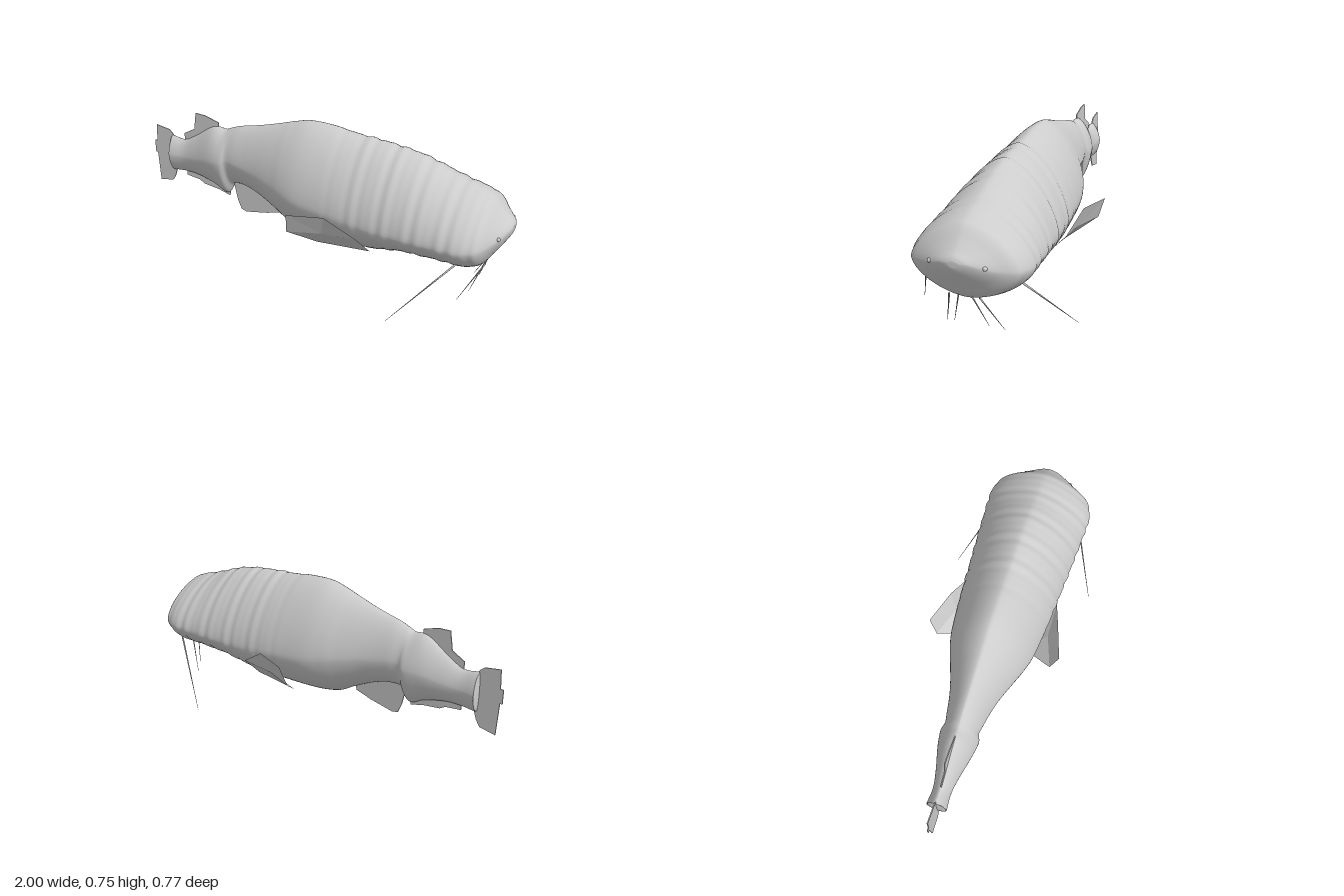
import * as THREE from 'three';

const skin = new THREE.MeshStandardMaterial({ color: 0xcccccc, side: THREE.DoubleSide });
skin.name = 'pale grey skin';

// Body stations: x, top, bottom, half width, height of the widest line
const STATIONS = [
  [-0.88, 0.52, 0.32, 0.05, 0.42],
  [-0.80, 0.51, 0.325, 0.045, 0.42],
  [-0.72, 0.55, 0.32, 0.058, 0.43],
  [-0.61, 0.618, 0.29, 0.085, 0.45],
  [-0.535, 0.617, 0.255, 0.096, 0.45],
  [-0.50, 0.63, 0.315, 0.085, 0.47],
  [-0.45, 0.648, 0.325, 0.093, 0.47],
  [-0.38, 0.663, 0.312, 0.106, 0.46],
  [-0.30, 0.682, 0.28, 0.127, 0.45],
  [-0.20, 0.71, 0.228, 0.162, 0.43],
  [-0.13, 0.731, 0.187, 0.188, 0.42],
  [-0.04, 0.751, 0.168, 0.213, 0.40],
  [0.08, 0.747, 0.16, 0.228, 0.39],
  [0.20, 0.728, 0.158, 0.239, 0.38],
  [0.32, 0.718, 0.16, 0.247, 0.37],
  [0.42, 0.705, 0.18, 0.254, 0.365],
  [0.52, 0.688, 0.202, 0.261, 0.365],
  [0.62, 0.656, 0.207, 0.267, 0.365],
  [0.72, 0.618, 0.21, 0.272, 0.365],
  [0.80, 0.592, 0.207, 0.275, 0.365],
  [0.86, 0.573, 0.212, 0.262, 0.37],
  [0.90, 0.548, 0.24, 0.235, 0.375],
  [0.935, 0.508, 0.292, 0.175, 0.385],
  [0.965, 0.475, 0.338, 0.12, 0.40],
  [0.99, 0.452, 0.38, 0.062, 0.42],
  [1.0, 0.435, 0.405, 0.025, 0.425],
];

function spline(a, b, c) {
  const points = STATIONS.map((s) => new THREE.Vector3(s[a], s[b], s[c]));
  return new THREE.CatmullRomCurve3(points, false, 'catmullrom', 0.5);
}

// Skin folds run round the front half of the body
function fold(x) {
  const fade = THREE.MathUtils.smoothstep(x, 0.08, 0.25) * (1 - THREE.MathUtils.smoothstep(x, 0.86, 0.92));
  return 1 + fade * (0.008 * Math.sin(x * 72) + 0.006 * Math.sin(x * 113 + 1));
}

function bodyGeometry() {
  const rings = 200, sides = 64;
  const heights = spline(0, 1, 2), widths = spline(0, 3, 4);
  const positions = [], index = [];
  for (let i = 0; i <= rings; i++) {
    const h = heights.getPoint(i / rings), w = widths.getPoint(i / rings);
    const f = fold(h.x), mid = w.z;
    for (let j = 0; j < sides; j++) {
      const a = (j / sides) * Math.PI * 2;
      const c = Math.cos(a), s = Math.sin(a);
      const power = s > 0 ? 2 / 1.55 : 2 / 1.7; // ridged back, rounder belly
      const rise = s > 0 ? h.y - mid : mid - h.z;
      positions.push(
        h.x,
        mid + Math.sign(s) * Math.abs(s) ** power * rise * f,
        Math.sign(c) * Math.abs(c) ** power * w.y * f,
      );
    }
  }
  for (let i = 0; i < rings; i++) {
    for (let j = 0; j < sides; j++) {
      const k = (j + 1) % sides;
      const a = i * sides + j, b = a + sides, c = i * sides + k, d = c + sides;
      index.push(a, b, c, b, d, c);
    }
  }
  // Snout tip
  const tip = positions.length / 3, last = rings * sides;
  positions.push(1.0, 0.422, 0);
  for (let j = 0; j < sides; j++) index.push(last + j, tip, last + ((j + 1) % sides));
  const g = new THREE.BufferGeometry();
  g.setAttribute('position', new THREE.Float32BufferAttribute(positions, 3));
  g.setIndex(index);
  g.computeVertexNormals();
  return g;
}

// Flat fins standing in the middle plane
const FINS = {
  dorsalFin: [[-0.8, 0.48], [-0.8, 0.545], [-0.735, 0.58], [-0.72, 0.672], [-0.66, 0.668], [-0.58, 0.643], [-0.58, 0.55]],
  rearBellyFin: [[-0.8, 0.36], [-0.8, 0.302], [-0.72, 0.29], [-0.69, 0.272], [-0.6, 0.258], [-0.53, 0.237], [-0.52, 0.33]],
  analFin: [[-0.5, 0.36], [-0.5, 0.31], [-0.48, 0.22], [-0.46, 0.172], [-0.43, 0.162], [-0.3, 0.185], [-0.21, 0.21], [-0.2, 0.3]],
  tailFin: [[-0.88, 0.53], [-0.9, 0.548], [-0.98, 0.562], [-0.985, 0.47], [-1, 0.47], [-1, 0.4], [-0.988, 0.4],
    [-0.98, 0.237], [-0.9, 0.25], [-0.88, 0.28], [-0.86, 0.34], [-0.86, 0.5]],
};

function finGeometry(outline) {
  const shape = new THREE.Shape(outline.map(([x, y]) => new THREE.Vector2(x, y)));
  return new THREE.ExtrudeGeometry(shape, { depth: 0.005, bevelEnabled: false }).translate(0, 0, -0.0025);
}

// Six-sided side fin, fanned from its middle
function pectoralGeometry(side) {
  const rim = [[0, 0.4, 0.34], [-0.02, 0.29, 0.303], [0.07, 0.18, 0.15], [0.34, 0.18, 0.12], [0.32, 0.3, 0.243], [0.17, 0.4, 0.285]];
  const middle = [0.14, 0.29, 0.247];
  const positions = [];
  rim.forEach((p, i) => {
    const q = rim[(i + 1) % rim.length];
    const corners = side > 0 ? [middle, p, q] : [middle, q, p];
    corners.forEach(([x, y, z]) => positions.push(x, y, z * side));
  });
  const g = new THREE.BufferGeometry();
  g.setAttribute('position', new THREE.Float32BufferAttribute(positions, 3));
  g.computeVertexNormals();
  return g;
}

// Tapered barbel between two points
function barbelGeometry(from, to, radius) {
  const a = new THREE.Vector3(...from), b = new THREE.Vector3(...to);
  const dir = b.clone().sub(a);
  const g = new THREE.CylinderGeometry(0.0008, radius, dir.length(), 8);
  g.applyQuaternion(new THREE.Quaternion().setFromUnitVectors(new THREE.Vector3(0, 1, 0), dir.normalize()));
  const m = a.add(b).multiplyScalar(0.5);
  return g.translate(m.x, m.y, m.z);
}

export function createModel() {
  const model = new THREE.Group();
  model.name = 'catfish';
  const add = (name, geometry) => {
    const mesh = new THREE.Mesh(geometry, skin);
    mesh.name = name;
    model.add(mesh);
    return mesh;
  };

  add('body', bodyGeometry());
  for (const [name, outline] of Object.entries(FINS)) add(name, finGeometry(outline));

  // Closed end of the tail stalk
  const cap = add('tailStalkEnd', new THREE.SphereGeometry(1, 24, 12));
  cap.scale.set(0.006, 0.095, 0.046);
  cap.position.set(-0.879, 0.42, 0);

  for (const side of [1, -1]) {
    const label = side > 0 ? 'left' : 'right';
    add(label + 'PectoralFin', pectoralGeometry(side));
    add(label + 'LongBarbel', barbelGeometry([0.81, 0.295, 0.222 * side], [0.54, 0, 0.385 * side], 0.005));
    add(label + 'OuterChinBarbel', barbelGeometry([0.9, 0.238, 0.07 * side], [0.795, 0.047, 0.137 * side], 0.004));
    add(label + 'InnerChinBarbel', barbelGeometry([0.9, 0.256, 0.024 * side], [0.835, 0.075, 0.082 * side], 0.004));
    // Small eye bead
    const eye = add(label + 'Eye', new THREE.SphereGeometry(0.01, 16, 10));
    eye.position.set(0.96, 0.405, 0.124 * side);
  }
  return model;
}
